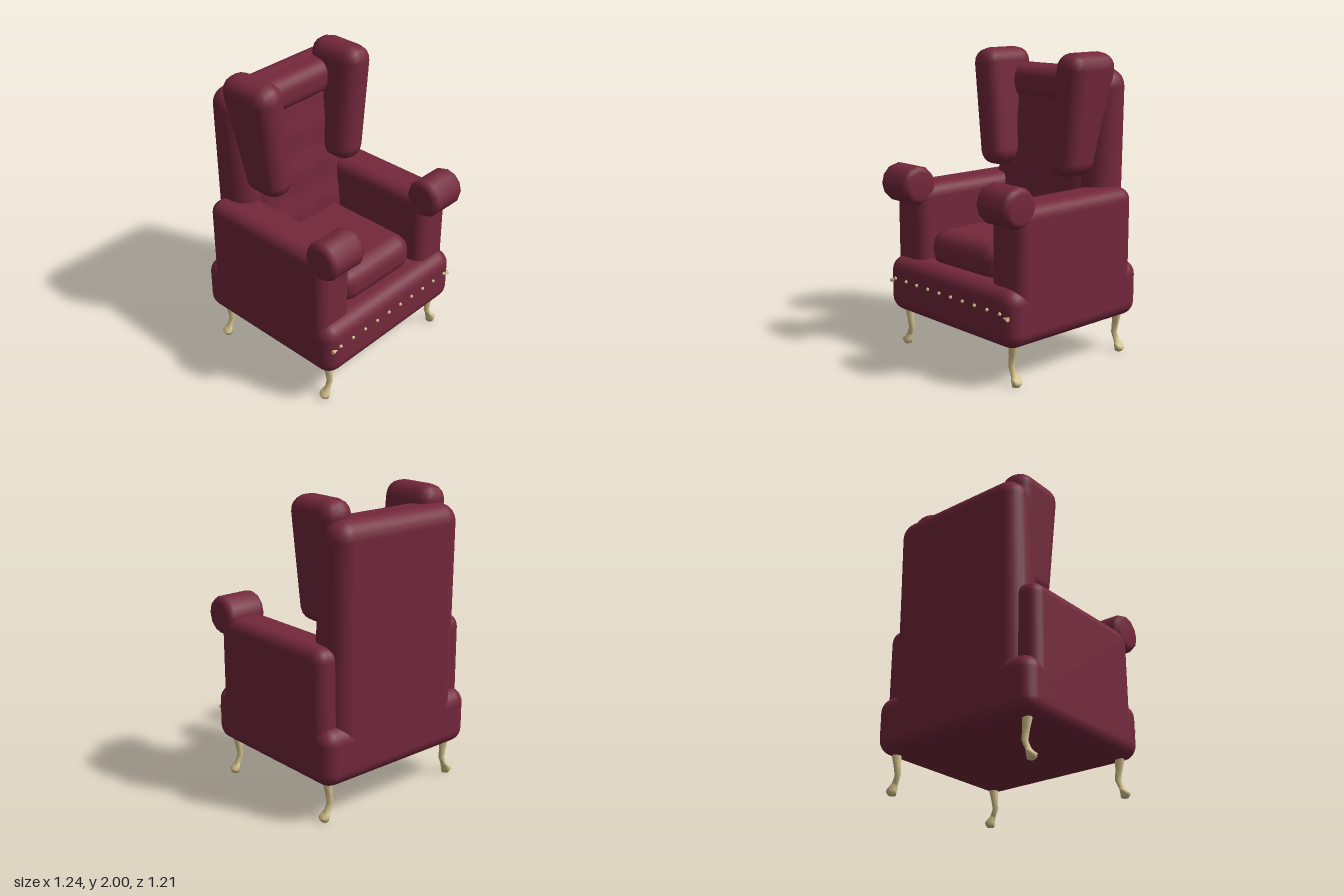
import * as THREE from 'three';
import { RoundedBoxGeometry } from 'three/addons/geometries/RoundedBoxGeometry.js';

const fabric = new THREE.MeshStandardMaterial({ color: 0x74283c });
const brass = new THREE.MeshStandardMaterial({ color: 0xd8c690 });

// Padded block given by its min / max corners
function pad(name, min, max, radius, segments = 3) {
  const size = max.map((v, i) => v - min[i]);
  const mesh = new THREE.Mesh(new RoundedBoxGeometry(...size, segments, radius), fabric);
  mesh.position.set(...max.map((v, i) => (v + min[i]) / 2));
  mesh.name = name;
  return mesh;
}

// Front face of the reclined backrest
const backFront = (y) => -0.355 + (1.75 - y) * 0.11;

// Block whose front leans back towards the top
function makeBackrest() {
  const mesh = pad('backrest', [-0.51, 0.3, -0.605], [0.51, 1.89, -0.355], 0.12);
  const p = mesh.geometry.attributes.position;
  for (let i = 0; i < p.count; i++) {
    const y = p.getY(i) + mesh.position.y;
    const t = p.getZ(i) / 0.25 + 0.5;
    p.setZ(i, p.getZ(i) + t * (1.75 - y) * 0.11);
  }
  return mesh;
}

// Softly buttoned inner cushion of the backrest
function makeTuftedPanel() {
  const w = 0.76, h = 1.1, y0 = 1.2;
  const geo = new THREE.PlaneGeometry(w, h, 28, 36);
  const p = geo.attributes.position;
  for (let i = 0; i < p.count; i++) {
    const x = p.getX(i), y = p.getY(i);
    const edge = Math.min(1, (w / 2 - Math.abs(x)) / 0.1, (h / 2 - Math.abs(y)) / 0.08);
    const puff = 0.045 * Math.sin(edge * Math.PI / 2);
    const tuft = 0.008 * Math.cos(x * 15 + y * 11) * Math.cos(x * 15 - y * 11) * edge;
    p.setXYZ(i, x, y + y0, backFront(y + y0) - 0.01 + puff + tuft);
  }
  geo.computeVertexNormals();
  const mesh = new THREE.Mesh(geo, fabric);
  mesh.name = 'tuftedPanel';
  return mesh;
}

// Bolster with softened ends, lying along x
function makeArmRoll(x) {
  const r = 0.13, half = 0.143;
  const profile = [[0, -half], [0.09, -half], [0.117, -half + 0.012], [r, -half + 0.04],
    [r, half - 0.04], [0.117, half - 0.012], [0.09, half], [0, half]];
  const mesh = new THREE.Mesh(
    new THREE.LatheGeometry(profile.map((q) => new THREE.Vector2(...q)), 12), fabric);
  mesh.rotation.z = Math.PI / 2;
  mesh.position.set(x, 1.13, 0.478);
  mesh.name = 'armRoll';
  return mesh;
}

// Curved leg built from stacked rings: [x, y, radius x, radius z]
function makeLeg(side, z) {
  const rings = [[0.52, 0.3, 0.032, 0.032], [0.52, 0.25, 0.032, 0.029], [0.512, 0.19, 0.024, 0.022],
    [0.502, 0.12, 0.02, 0.019], [0.524, 0.07, 0.019, 0.02], [0.538, 0.055, 0.024, 0.03],
    [0.55, 0.038, 0.034, 0.036], [0.55, 0.022, 0.03, 0.034], [0.545, 0, 0.024, 0.026]];
  const sides = 8, pos = [], index = [];
  for (const [x, y, rx, rz] of rings) {
    for (let i = 0; i < sides; i++) {
      const a = (i / sides) * Math.PI * 2;
      // the foot leans down towards its outer tip
      const tip = y > 0.001 && y < 0.06 ? 0.008 * Math.cos(a) : 0;
      pos.push(x - 0.0 + rx * Math.cos(a), y - tip, rz * Math.sin(a));
    }
  }
  for (let r = 0; r < rings.length - 1; r++) {
    for (let i = 0; i < sides; i++) {
      const a = r * sides + i, b = r * sides + (i + 1) % sides;
      index.push(a, b, a + sides, b, b + sides, a + sides);
    }
  }
  const last = (rings.length - 1) * sides;
  for (let i = 1; i < sides - 1; i++) index.push(last, last + i, last + i + 1);
  const geo = new THREE.BufferGeometry();
  geo.setAttribute('position', new THREE.Float32BufferAttribute(pos, 3));
  geo.setIndex(index);
  geo.computeVertexNormals();
  const mesh = new THREE.Mesh(geo, brass);
  // half turn mirrors the symmetric leg to the other side
  if (side < 0) mesh.rotation.y = Math.PI;
  mesh.position.z = z;
  mesh.name = 'leg';
  return mesh;
}

export function createModel() {
  const chair = new THREE.Group();
  chair.name = 'wingArmchair';

  chair.add(pad('seatBase', [-0.62, 0.25, -0.605], [0.62, 0.63, 0.565], 0.1));
  chair.add(pad('seatCushion', [-0.335, 0.58, -0.32], [0.335, 0.84, 0.442], 0.11, 2));
  chair.add(makeBackrest(), makeTuftedPanel());
  chair.add(pad('headRoll', [-0.42, 1.645, -0.57], [0.42, 1.885, -0.288], 0.1));

  for (const s of [-1, 1]) {
    // arms and their rolled fronts
    const arm = pad('armrest', [-0.145, 0.35, -0.53], [0.145, 1.13, 0.492], 0.085);
    arm.position.x = s * 0.475;
    chair.add(arm, makeArmRoll(s * 0.477));

    // wings splay outwards at the top
    const wing = pad('wing', [-0.112, 1.2, -0.495], [0.112, 2.0, -0.082], 0.1, 2);
    wing.position.x = s * 0.362;
    wing.rotation.z = -s * 0.105;
    chair.add(wing);

    for (const z of [0.455, -0.49]) chair.add(makeLeg(s, z));

    // small pointed ornament at each front corner
    const spike = new THREE.Mesh(new THREE.ConeGeometry(0.016, 0.065, 6), brass);
    spike.rotation.z = s * Math.PI / 2;
    spike.position.set(s * 0.549, 0.462, 0.556);
    spike.name = 'cornerOrnament';
    chair.add(spike);
  }

  // row of upholstery nails
  const nailGeo = new THREE.SphereGeometry(0.012, 8, 6);
  for (let i = 0; i < 10; i++) {
    const nail = new THREE.Mesh(nailGeo, brass);
    nail.position.set(-0.52 + i * 0.1156, 0.485, 0.568);
    nail.name = 'nail';
    chair.add(nail);
  }
  return chair;
}
